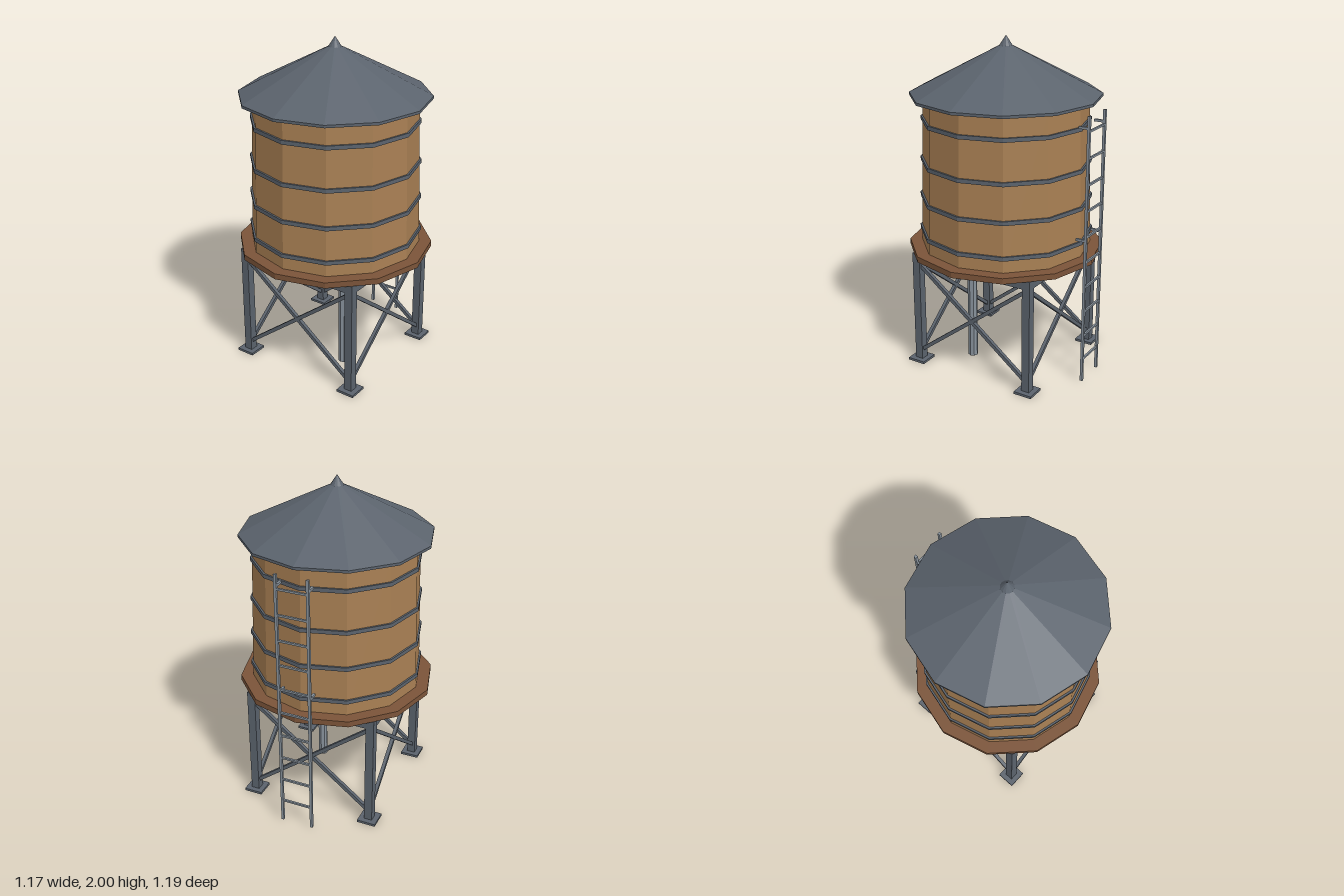
import * as THREE from 'three';

const makeMaterial = (name, color) => {
  const m = new THREE.MeshStandardMaterial({ color, flatShading: true });
  m.name = name;
  return m;
};

export function createModel() {
  const wood = makeMaterial('tank wood', 0xa87f53);
  const deckWood = makeMaterial('deck wood', 0x7b5439);
  const steel = makeMaterial('dark steel', 0x5b636d);
  const pipeSteel = makeMaterial('light steel', 0x87919b);

  const model = new THREE.Group();
  model.name = 'waterTower';
  const tower = new THREE.Group();
  tower.name = 'tower';
  tower.position.z = 0.006;
  model.add(tower);

  const add = (parent, name, geometry, material, x = 0, y = 0, z = 0) => {
    const mesh = new THREE.Mesh(geometry, material);
    mesh.name = name;
    mesh.position.set(x, y, z);
    parent.add(mesh);
    return mesh;
  };
  const box = (parent, name, w, h, d, mat, x, y, z) =>
    add(parent, name, new THREE.BoxGeometry(w, h, d), mat, x, y, z);
  // Twelve-sided drum between two heights
  const drum = (name, rTop, rBottom, y0, y1, mat) =>
    add(tower, name, new THREE.CylinderGeometry(rTop, rBottom, y1 - y0, 12), mat, 0, (y0 + y1) / 2, 0);

  // Tank and its hoops
  const y0 = 0.75, y1 = 1.655;
  const tankRadius = y => 0.513 - 0.028 * (y - y0) / (y1 - y0);
  drum('tank', tankRadius(y1), tankRadius(y0), y0, y1, wood);
  for (const y of [0.838, 1.047, 1.27, 1.517]) {
    const r = tankRadius(y) + 0.011;
    drum('hoop', r, r, y - 0.012, y + 0.012, steel);
  }

  // Platform
  drum('platform', 0.587, 0.587, 0.717, 0.752, deckWood);

  // Roof
  drum('roofRim', 0.564, 0.564, 1.652, 1.668, steel);
  drum('roof', 0.03, 0.564, 1.668, 1.946, steel);
  drum('roofCap', 0, 0.046, 1.93, 2.0, steel);

  // Legs with foot plates
  const L = 0.383;
  for (const x of [-L, L]) {
    for (const z of [-L, L]) {
      box(tower, 'leg', 0.05, 0.705, 0.05, steel, x, 0.3645, z);
      box(tower, 'footPlate', 0.114, 0.015, 0.114, steel, x, 0.0075, z);
    }
  }

  // Top beam and crossed braces on each of the four sides
  const bx = 0.375, by = 0.29;
  for (let i = 0; i < 4; i++) {
    const side = new THREE.Group();
    side.name = 'frameSide';
    side.rotation.y = i * Math.PI / 2;
    tower.add(side);
    box(side, 'topBeam', 2 * L - 0.05, 0.055, 0.045, steel, 0, 0.6895, L);
    for (const s of [-1, 1]) {
      const brace = box(side, 'brace', 2 * Math.hypot(bx, by), 0.022, 0.022, steel, 0, 0.357, L);
      brace.rotation.z = s * Math.atan2(by, bx);
    }
  }

  // Outlet pipe
  add(tower, 'outletPipe', new THREE.CylinderGeometry(0.03, 0.03, 0.72, 8), pipeSteel, 0.164, 0.36, 0.142);

  // Ladder on the back
  const ladder = new THREE.Group();
  ladder.name = 'ladder';
  ladder.position.z = -0.591;
  tower.add(ladder);
  for (const x of [-0.095, 0.095]) {
    box(ladder, 'rail', 0.016, 1.624, 0.016, pipeSteel, x, 0.812, 0);
    for (const y of [0.896, 1.555])
      box(ladder, 'standoff', 0.014, 0.014, 0.062, pipeSteel, x, y, 0.031);
  }
  for (let i = 0; i < 10; i++)
    box(ladder, 'rung', 0.19, 0.012, 0.012, pipeSteel, 0, 0.143 + 0.155 * i, 0);

  return model;
}
